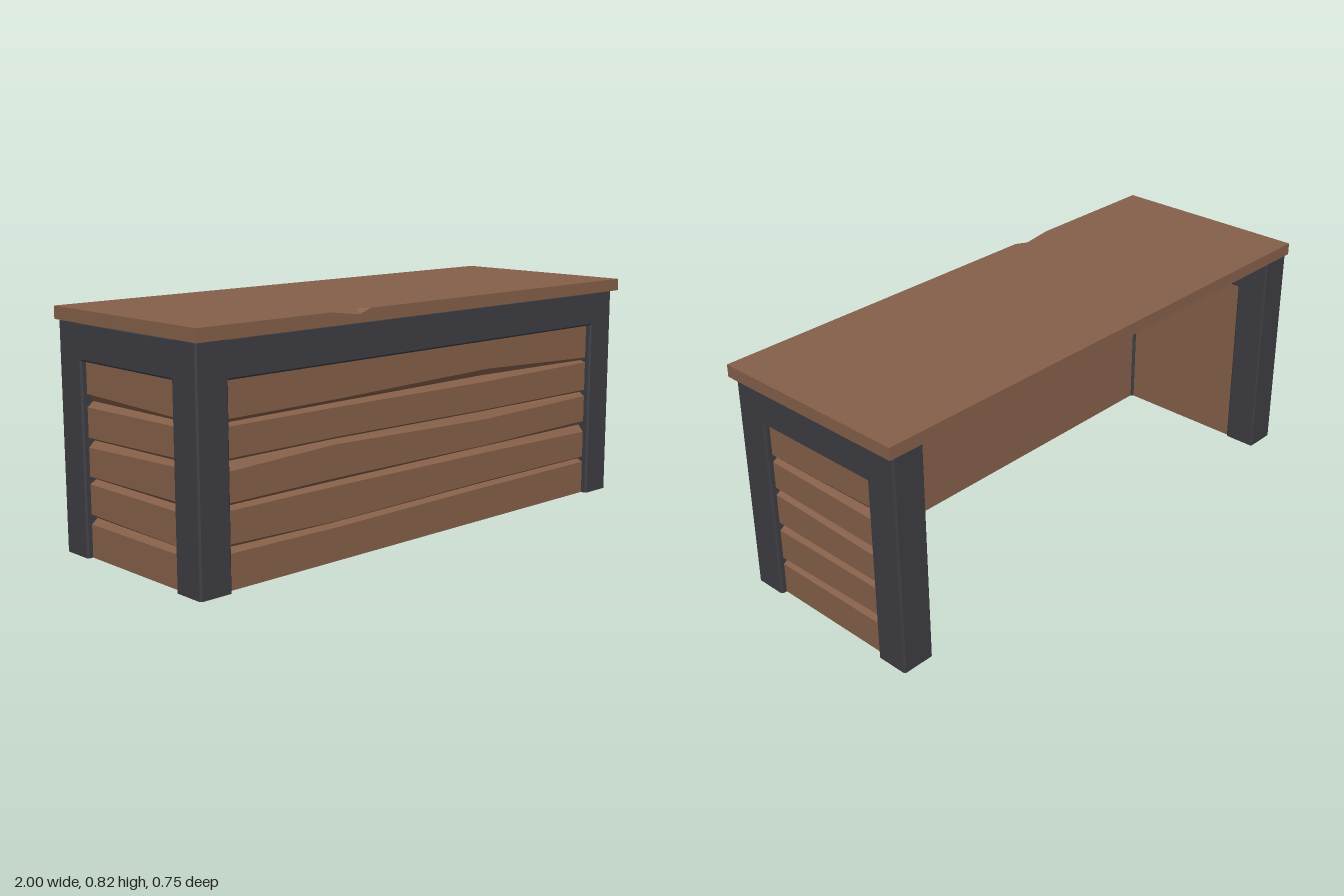
import * as THREE from 'three';

const LEG = 0.12, BEVEL = 0.006, TOP = 0.775;

// Flat-shaded surface from polygons, each fanned from its first corner
function polygons(faces) {
  const pos = [];
  for (const f of faces)
    for (let i = 1; i < f.length - 1; i++) pos.push(...f[0], ...f[i], ...f[i + 1]);
  const g = new THREE.BufferGeometry();
  g.setAttribute('position', new THREE.Float32BufferAttribute(pos, 3));
  g.computeVertexNormals();
  return g;
}

// Bar along z with its long edges chamfered
function bar(w, h, length) {
  const x = w / 2, y = h / 2, b = BEVEL;
  const s = new THREE.Shape([
    [x - b, -y], [x, -y + b], [x, y - b], [x - b, y],
    [-x + b, y], [-x, y - b], [-x, -y + b], [-x + b, -y],
  ].map(p => new THREE.Vector2(...p)));
  return new THREE.ExtrudeGeometry(s, { depth: length, bevelEnabled: false }).translate(0, 0, -length / 2);
}

// Plank wall facing +z; each station is [u, [top, middle, bottom] of every groove]
function plankWall(stations, outer, inner) {
  const H = 0.66, DEPTH = 0.022;
  const rings = stations.map(([u, ...grooves]) => {
    const ring = [[u, H, outer]];
    for (const [t, m, b] of grooves) ring.push([u, t, outer], [u, m, outer - DEPTH], [u, b, outer]);
    ring.push([u, 0, outer], [u, 0, inner], [u, H, inner]);
    return ring;
  });
  const faces = [];
  for (let i = 0; i < rings.length - 1; i++) {
    const a = rings[i], b = rings[i + 1];
    a.forEach((p, j) => {
      const k = (j + 1) % a.length;
      faces.push([p, a[k], b[k], b[j]]);
    });
  }
  return polygons(faces);
}

export function createModel() {
  const group = new THREE.Group();
  const wood = new THREE.MeshStandardMaterial({ color: 0x855f49 });
  wood.name = 'brownWood';
  const metal = new THREE.MeshStandardMaterial({ color: 0x3d3c42 });
  metal.name = 'darkFrame';

  const add = (name, geometry, material, x = 0, y = 0, z = 0) => {
    const m = new THREE.Mesh(geometry, material);
    m.name = name;
    m.position.set(x, y, z);
    group.add(m);
    return m;
  };

  // Counter top with a chip in its front edge
  const lo = TOP, hi = 0.818, zf = 0.372, zb = -0.373;
  const A = [-0.48, hi, zf], B = [-0.35, hi, 0.35], C = [-0.31, hi, zf], D = [-0.36, 0.802, zf];
  const FL = [-1, hi, zf], FR = [1, hi, zf], BL = [-1, hi, zb], BR = [1, hi, zb];
  const fl = [-1, lo, zf], fr = [1, lo, zf], bl = [-1, lo, zb], br = [1, lo, zb];
  add('counterTop', polygons([
    [B, C, FR, BR, BL, FL, A],
    [D, A, FL, fl, fr, FR, C],
    [A, D, B], [D, C, B],
    [fr, br, BR, FR], [bl, fl, FL, BL],
    [br, bl, BL, BR], [fl, bl, br, fr],
  ]), wood);

  // Four legs and the side rails
  for (const side of [1, -1]) {
    const label = side > 0 ? 'left' : 'right';
    const x = side * 0.927;
    add(label + 'FrontLeg', bar(LEG, LEG, TOP).rotateX(Math.PI / 2), metal, x, TOP / 2, 0.29);
    add(label + 'BackLeg', bar(LEG, LEG, TOP).rotateX(Math.PI / 2), metal, x, TOP / 2, -0.31);
    add(label + 'Rail', bar(LEG, 0.125, 0.492), metal, x, 0.7125, -0.01);
  }
  add('frontRail', bar(LEG, 0.125, 1.746).rotateY(Math.PI / 2), metal, 0, 0.7125, 0.29);

  // Front planks
  add('frontPlanks', plankWall([
    [-0.875, [0.53, 0.515, 0.507], [0.41, 0.397, 0.37], [0.273, 0.26, 0.25], [0.146, 0.131, 0.117]],
    [-0.42, [0.533, 0.518, 0.507], [0.411, 0.4, 0.387], [0.277, 0.262, 0.25], [0.134, 0.124, 0.113]],
    [0.3, [0.547, 0.522, 0.502], [0.402, 0.392, 0.367], [0.273, 0.263, 0.246], [0.142, 0.13, 0.119]],
    [0.875, [0.525, 0.513, 0.507], [0.401, 0.39, 0.377], [0.28, 0.263, 0.238], [0.141, 0.13, 0.12]],
  ], 0.328, 0.24), wood);

  // Side planks, mirrored
  const front = [[0.533, 0.52, 0.507], [0.411, 0.397, 0.384], [0.277, 0.26, 0.246], [0.137, 0.125, 0.112]];
  const back = [[0.543, 0.517, 0.499], [0.4, 0.388, 0.367], [0.272, 0.26, 0.246], [0.146, 0.13, 0.112]];
  add('leftPlanks', plankWall([[-0.24, ...front], [0.26, ...back]], 0.967, 0.875), wood)
    .rotation.y = Math.PI / 2;
  add('rightPlanks', plankWall([[-0.26, ...back], [0.24, ...front]], 0.967, 0.875), wood)
    .rotation.y = -Math.PI / 2;

  return group;
}
